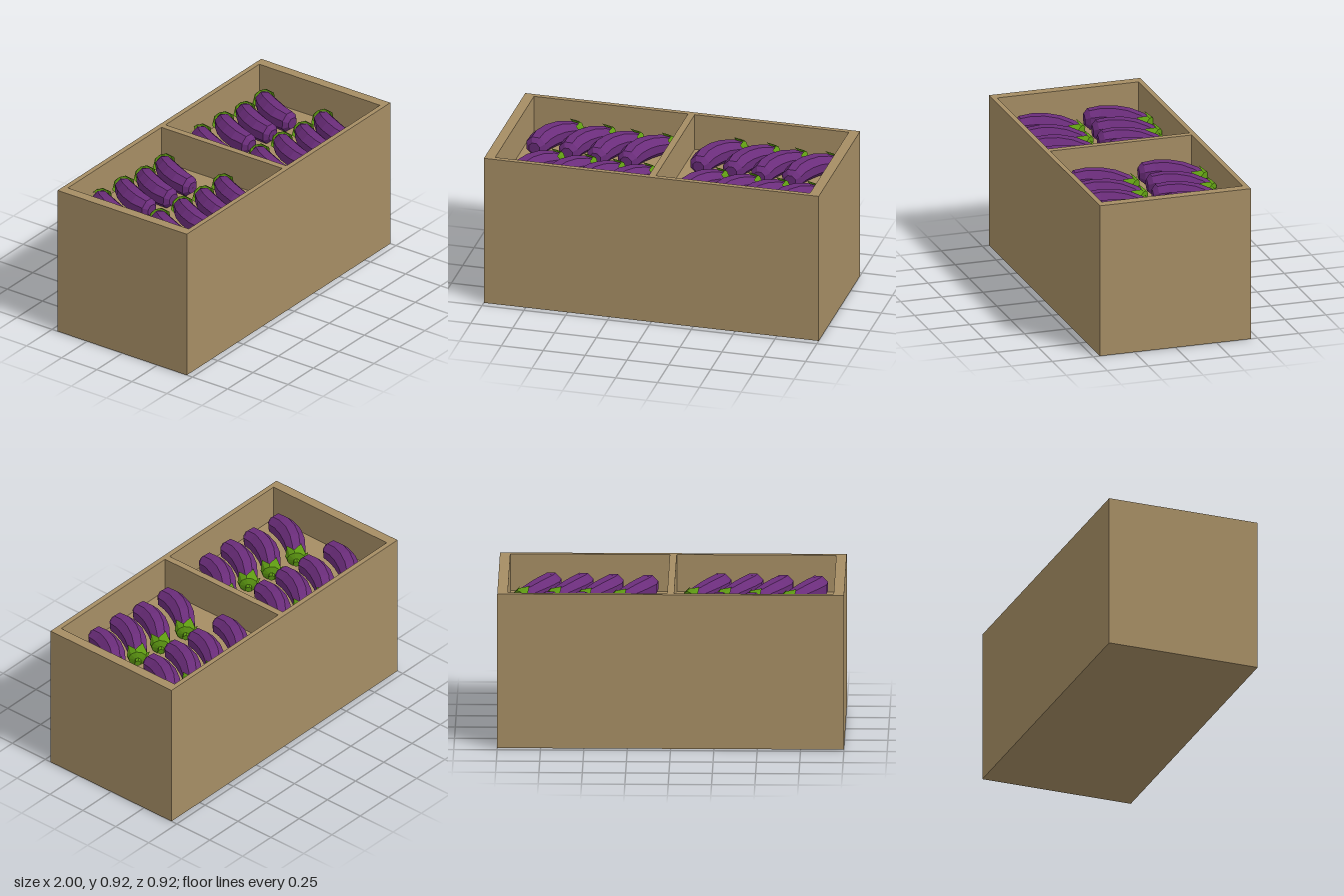
import * as THREE from 'three';

const V = (x, y, z) => new THREE.Vector3(x, y, z);
const UP = V(0, 1, 0);
const FLOOR = 0.7, HEIGHT = 0.92;

const wood = new THREE.MeshStandardMaterial({ color: 0xa58d64, flatShading: true });
const skin = new THREE.MeshStandardMaterial({ color: 0x6b2d7b, flatShading: true });
const green = new THREE.MeshStandardMaterial({ color: 0x5e9a12, flatShading: true, side: THREE.DoubleSide });

function part(name, geometry, material) {
  const mesh = new THREE.Mesh(geometry, material);
  mesh.name = name;
  return mesh;
}

// Box without its top face; inward = true turns the faces to the inside
function openBox(w, h, d, inward) {
  const g = new THREE.BoxGeometry(w, h, d);
  const index = Array.from(g.index.array);
  index.splice(12, 6);
  g.setIndex(index);
  g.clearGroups();
  if (inward) {
    g.scale(-1, 1, 1);
    g.computeVertexNormals();
  }
  return g;
}

function rectangle(PathType, x0, x1, z0, z1) {
  return new PathType().moveTo(x0, z0).lineTo(x1, z0).lineTo(x1, z1).lineTo(x0, z1).closePath();
}

// Crate: outer shell, two sunken trays and the flat rim with its divider
function makeCrate() {
  const crate = new THREE.Group();
  crate.name = 'crate';

  const shell = part('crateShell', openBox(2, HEIGHT, 0.92, false), wood);
  shell.position.y = HEIGHT / 2;
  crate.add(shell);

  const outline = rectangle(THREE.Shape, -1, 1, -0.46, 0.46);
  for (const side of [-1, 1]) {
    const x0 = Math.min(0.02 * side, 0.94 * side), x1 = Math.max(0.02 * side, 0.94 * side);
    outline.holes.push(rectangle(THREE.Path, x0, x1, -0.43, 0.43));
    const tray = part('tray', openBox(0.92, HEIGHT - FLOOR, 0.86, true), wood);
    tray.position.set(0.48 * side, (HEIGHT + FLOOR) / 2, 0);
    crate.add(tray);
  }
  const rim = part('rim', new THREE.ShapeGeometry(outline).rotateX(-Math.PI / 2), wood);
  rim.position.y = HEIGHT;
  crate.add(rim);
  return crate;
}

// Curved centre line, from the blunt end to the stem
const spine = new THREE.CatmullRomCurve3([
  V(-0.84, 0.765, -0.065), V(-0.828, 0.77, -0.16), V(-0.783, 0.772, -0.26),
  V(-0.72, 0.764, -0.345), V(-0.66, 0.748, -0.4),
]);

// Eight-sided fruit body swept along the spine: [position, radius]
function makeBodyGeometry() {
  const rings = [[0, 0.001], [0, 0.036], [0.07, 0.063], [0.25, 0.07], [0.45, 0.071],
    [0.65, 0.067], [0.85, 0.058], [1, 0.042], [1, 0.001]];
  const sides = 8, positions = [], index = [];
  rings.forEach(([t, r], i) => {
    const c = spine.getPointAt(t), T = spine.getTangentAt(t);
    const S = UP.clone().cross(T).normalize(), U = T.clone().cross(S);
    for (let j = 0; j < sides; j++) {
      const a = ((j + 0.5) / sides) * Math.PI * 2;
      const p = c.clone().addScaledVector(S, r * Math.cos(a)).addScaledVector(U, r * Math.sin(a));
      positions.push(p.x, p.y, p.z);
      if (i === rings.length - 1) continue;
      const a0 = i * sides + j, b0 = i * sides + (j + 1) % sides;
      index.push(a0, b0, a0 + sides, b0, b0 + sides, a0 + sides);
    }
  });
  const g = new THREE.BufferGeometry();
  g.setAttribute('position', new THREE.Float32BufferAttribute(positions, 3));
  g.setIndex(index);
  g.computeVertexNormals();
  return g;
}

// Leafy cap: a flared skirt whose rim alternates between lobe tips and notches
function makeCalyxGeometry() {
  const g = new THREE.CylinderGeometry(0.016, 0.06, 0.04, 10, 2, true);
  const p = g.attributes.position;
  for (let i = 0; i < p.count; i++) {
    const row = Math.floor(i / 11), lobe = (i % 11) % 2 === 0;
    const angle = ((i % 11) / 10) * Math.PI * 2;
    const r = row === 0 ? 0.016 : row === 1 ? 0.054 : lobe ? 0.072 : 0.062;
    const y = row === 0 ? 0.012 : row === 1 ? 0 : lobe ? -0.062 : -0.018;
    p.setXYZ(i, r * Math.sin(angle), y, r * Math.cos(angle));
  }
  g.computeVertexNormals();
  return g;
}

const bodyGeometry = makeBodyGeometry();
const calyxGeometry = makeCalyxGeometry();
const stemGeometry = new THREE.CylinderGeometry(0.021, 0.016, 0.034, 6).translate(0, 0.022, 0);

function makeEggplant() {
  const eggplant = new THREE.Group();
  eggplant.name = 'eggplant';
  const top = new THREE.Group();
  top.name = 'eggplantTop';
  top.position.copy(spine.getPointAt(1));
  top.quaternion.setFromUnitVectors(UP, spine.getTangentAt(1));
  top.add(part('calyx', calyxGeometry, green), part('stem', stemGeometry, green));
  eggplant.add(part('eggplantBody', bodyGeometry, skin), top);
  return eggplant;
}

export function createModel() {
  const model = new THREE.Group();
  model.name = 'eggplantCrate';
  model.add(makeCrate());

  // Two rows of four in each tray
  const offsets = [[0, 0], [0.2, 0.017], [0.375, 0.042], [0.56, 0.045]];
  for (const trayX of [0, 0.98]) {
    for (const rowZ of [0, 0.417]) {
      for (const [x, z] of offsets) {
        const eggplant = makeEggplant();
        eggplant.position.set(trayX + x, 0, rowZ + z);
        model.add(eggplant);
      }
    }
  }
  return model;
}
